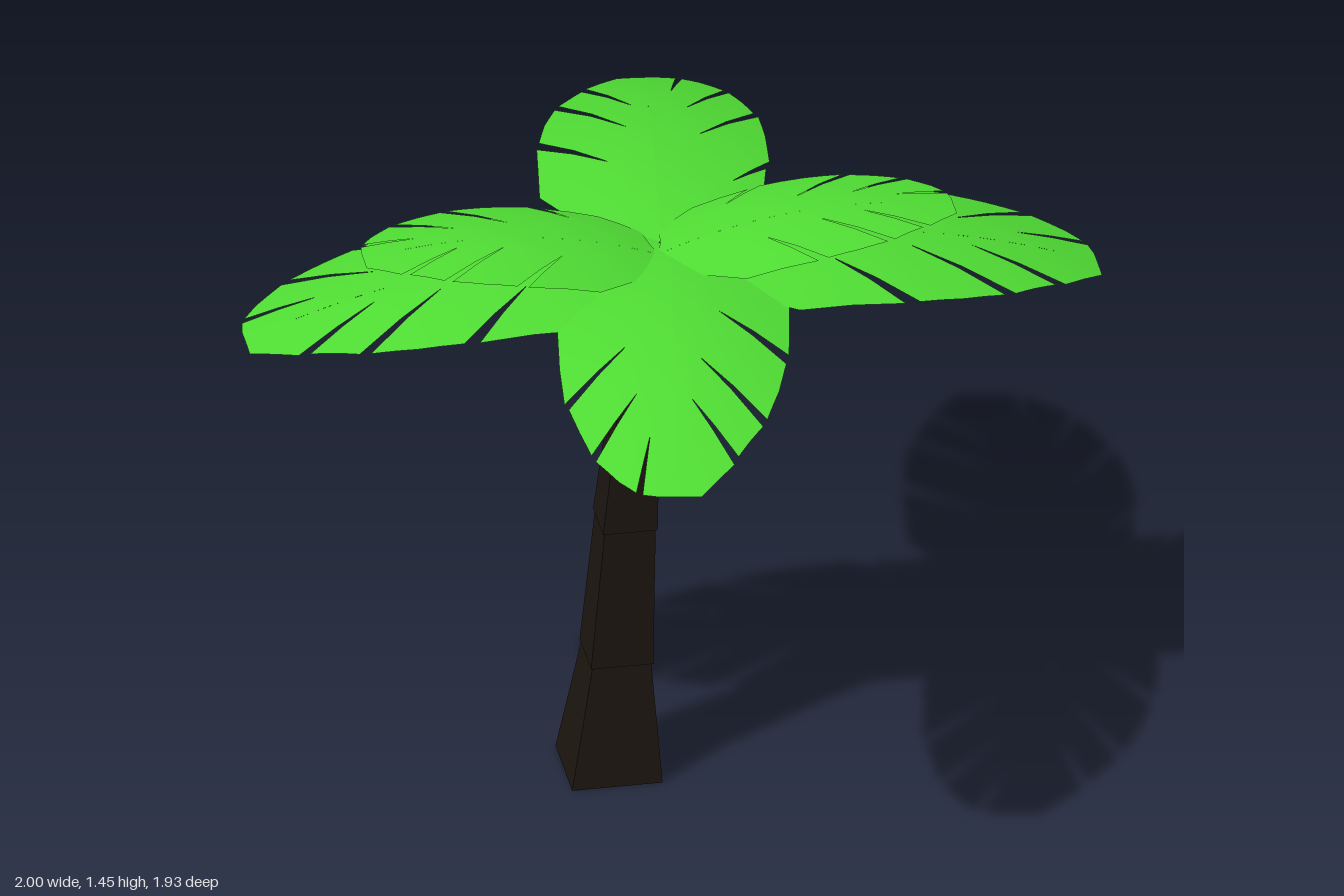
import * as THREE from 'three';
import { mergeGeometries, mergeVertices } from 'three/addons/utils/BufferGeometryUtils.js';

const bark = new THREE.MeshStandardMaterial({ color: 0x1c1510, flatShading: true });
const nutSkin = new THREE.MeshStandardMaterial({ color: 0x140e0b });
const leaf = new THREE.MeshStandardMaterial({ color: 0x4fdb33, side: THREE.DoubleSide });

// Trunk rings: height, centre x, centre z, half width
const RINGS = [
  [0, -0.14, 0.028, 0.106], [0.3, -0.123, 0.03, 0.069], [0.65, -0.102, 0.03, 0.06],
  [0.88, -0.085, 0.03, 0.053], [1.07, -0.065, 0.029, 0.048], [1.25, -0.045, 0.028, 0.043],
  [1.35, -0.035, 0.028, 0.041],
];

// One tapered, leaning square block between two rings, with a small lip at its foot
function trunkSegment(a, b, lip) {
  const g = new THREE.BoxGeometry(2, 1, 2);
  const p = g.attributes.position;
  for (let i = 0; i < p.count; i++) {
    const [y, cx, cz, w] = p.getY(i) > 0 ? b : a;
    const half = p.getY(i) > 0 ? w : w + lip;
    p.setXYZ(i, cx + p.getX(i) * half, y, cz + p.getZ(i) * half);
  }
  g.computeVertexNormals();
  return g;
}

// Leaflets of each half: slot ends (u along, v across) and three outer points per leaflet
const HALF_A = {
  rib: [0, 0.25, 0.48, 0.65, 0.9],
  inner: [[0.02, 0.07], [0.36, 0.11], [0.55, 0.06], [0.7, 0.04], [0.95, 0]],
  outer: [
    [[0.03, 0.15], [0.25, 0.28], [0.5, 0.275]], [[0.535, 0.268], [0.64, 0.25], [0.745, 0.22]],
    [[0.77, 0.21], [0.82, 0.18], [0.875, 0.15]], [[0.9, 0.14], [1, 0.06], [1, 0]],
  ],
};
const HALF_B = {
  rib: [0, 0.15, 0.4, 0.6, 0.77, 0.9],
  inner: [[0.02, 0.07], [0.27, 0.18], [0.5, 0.11], [0.68, 0.09], [0.82, 0.06], [0.95, 0]],
  outer: [
    [[0.03, 0.16], [0.16, 0.245], [0.36, 0.265]], [[0.4, 0.275], [0.55, 0.272], [0.68, 0.262]],
    [[0.7, 0.252], [0.78, 0.228], [0.86, 0.2]], [[0.88, 0.19], [0.95, 0.135], [0.985, 0.095]],
    [[0.992, 0.08], [1, 0.04], [1, 0]],
  ],
};

const mix = (p, q, t) => [p[0] + (q[0] - p[0]) * t, p[1] + (q[1] - p[1]) * t];

// Leaflet grid from the midrib to the outer edge, arched along and across the frond
function leaflet(half, k, sign) {
  const COLS = 4, ROWS = 4, pos = [], idx = [];
  const [o0, o1, o2] = half.outer[k];
  for (let c = 0; c <= COLS; c++) {
    const t = c / COLS;
    const rib = mix([half.rib[k], 0], [half.rib[k + 1], 0], t);
    const inner = mix(half.inner[k], half.inner[k + 1], t);
    const outer = t < 0.5 ? mix(o0, o1, t * 2) : mix(o1, o2, t * 2 - 1);
    for (let r = 0; r <= ROWS; r++) {
      const s = r / ROWS;
      const [u, v] = s < 0.5 ? mix(rib, inner, s * 2) : mix(inner, outer, s * 2 - 1);
      pos.push(u, 0.171 * u - 0.294 * u * u - 0.5 * v * v, v * sign);
      if (c < COLS && r < ROWS) {
        const a = c * (ROWS + 1) + r, b = a + 1, d = a + ROWS + 1, e = d + 1;
        idx.push(...(sign > 0 ? [a, b, d, b, e, d] : [a, d, b, b, d, e]));
      }
    }
  }
  const g = new THREE.BufferGeometry();
  g.setAttribute('position', new THREE.Float32BufferAttribute(pos, 3));
  g.setIndex(idx);
  return g;
}

function frondGeometry() {
  const parts = [];
  for (const [half, sign] of [[HALF_A, 1], [HALF_B, -1]])
    half.outer.forEach((_, k) => parts.push(leaflet(half, k, sign)));
  const g = mergeVertices(mergeGeometries(parts), 1e-4);
  g.computeVertexNormals();
  return g;
}

export function createModel() {
  const model = new THREE.Group();
  model.name = 'palmTree';

  const trunk = new THREE.Group();
  trunk.name = 'trunk';
  for (let i = 0; i < RINGS.length - 1; i++) {
    const m = new THREE.Mesh(trunkSegment(RINGS[i], RINGS[i + 1], i ? 0.004 : 0), bark);
    m.name = 'trunkSegment';
    trunk.add(m);
  }
  model.add(trunk);

  // Nuts under the crown
  for (const [x, y, z] of [[-0.03, 1.265, 0.1], [0.04, 1.265, 0.03]]) {
    const nut = new THREE.Mesh(new THREE.SphereGeometry(0.04, 12, 8), nutSkin);
    nut.name = 'coconut';
    nut.position.set(x, y, z);
    model.add(nut);
  }

  // Fronds: name, base, turn about y, upward tilt, scale, mirrored
  const g = frondGeometry();
  const fronds = [
    ['leftFrond', [0, 1.36, 0.06], 0, 0, 1, 1],
    ['rightFrond', [0, 1.36, 0.06], Math.PI, 0, 1, -1],
    ['frontFrond', [0.01, 1.36, 0], -Math.PI / 2 - 0.17, 0, 0.97, -1],
    ['backFrond', [-0.01, 1.36, 0], Math.PI / 2 - 0.135, 0, 0.97, -1],
    ['upperLeftFrond', [-0.03, 1.365, 0.06], 0, 0.21, 0.69, 1],
    ['upperRightFrond', [-0.03, 1.365, 0.06], Math.PI, 0.21, 0.69, -1],
  ];
  for (const [name, base, turn, tilt, size, mirror] of fronds) {
    const f = new THREE.Mesh(g, leaf);
    f.name = name;
    f.position.set(...base);
    f.rotation.set(0, turn, tilt, 'YXZ');
    f.scale.set(size, size, size * mirror);
    model.add(f);
  }
  return model;
}
